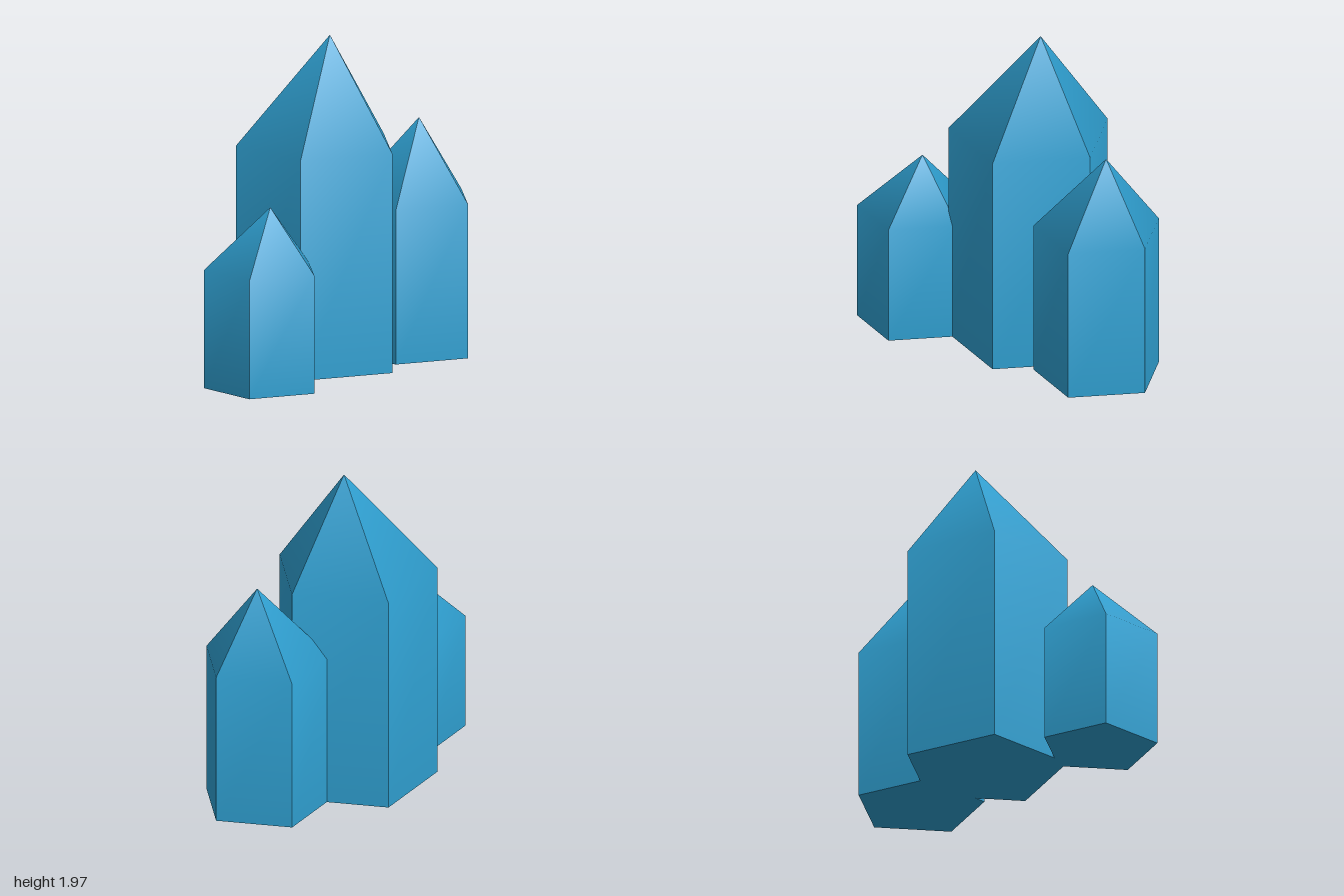
import * as THREE from 'three';
import { toCreasedNormals } from 'three/addons/utils/BufferGeometryUtils.js';

const SIDES = 5;

// Five-sided prism with a pointed tip; one corner faces +x, the tip leans slightly to +x.
function crystalGeometry(radius, shoulder, height) {
  const corner = (k, y) => {
    const a = (k % SIDES) * Math.PI * 2 / SIDES;
    const stretch = k % SIDES === 0 ? 0.985 : 1;
    return [Math.cos(a) * radius * stretch, y, Math.sin(a) * radius];
  };
  const apex = [radius * 0.15, height, 0];
  const positions = [];
  const tri = (...points) => points.forEach((p) => positions.push(...p));

  for (let k = 0; k < SIDES; k++) {
    const b0 = corner(k, 0), b1 = corner(k + 1, 0);
    const t0 = corner(k, shoulder), t1 = corner(k + 1, shoulder);
    tri(b0, t0, b1); // wall
    tri(b1, t0, t1);
    tri(t0, apex, t1); // tip facet
    tri(b0, b1, [0, 0, 0]); // underside
  }
  const geometry = new THREE.BufferGeometry();
  geometry.setAttribute('position', new THREE.Float32BufferAttribute(positions, 3));
  // Walls blend softly into their tip facets, upright edges stay sharp
  return toCreasedNormals(geometry, 0.9);
}

export function createModel() {
  const model = new THREE.Group();
  model.name = 'crystalCluster';
  const material = new THREE.MeshStandardMaterial({ color: 0x2f9fd0 });

  const crystals = [
    { name: 'tallCrystal', x: -0.032, z: -0.077, radius: 0.498, shoulder: 1.32, height: 1.97 },
    { name: 'leftCrystal', x: 0.61, z: -0.003, radius: 0.392, shoulder: 0.925, height: 1.4 },
    { name: 'rightCrystal', x: -0.714, z: 0.208, radius: 0.352, shoulder: 0.71, height: 1.075 },
  ];
  for (const c of crystals) {
    const mesh = new THREE.Mesh(crystalGeometry(c.radius, c.shoulder, c.height), material);
    mesh.name = c.name;
    mesh.position.set(c.x, 0, c.z);
    model.add(mesh);
  }
  return model;
}
